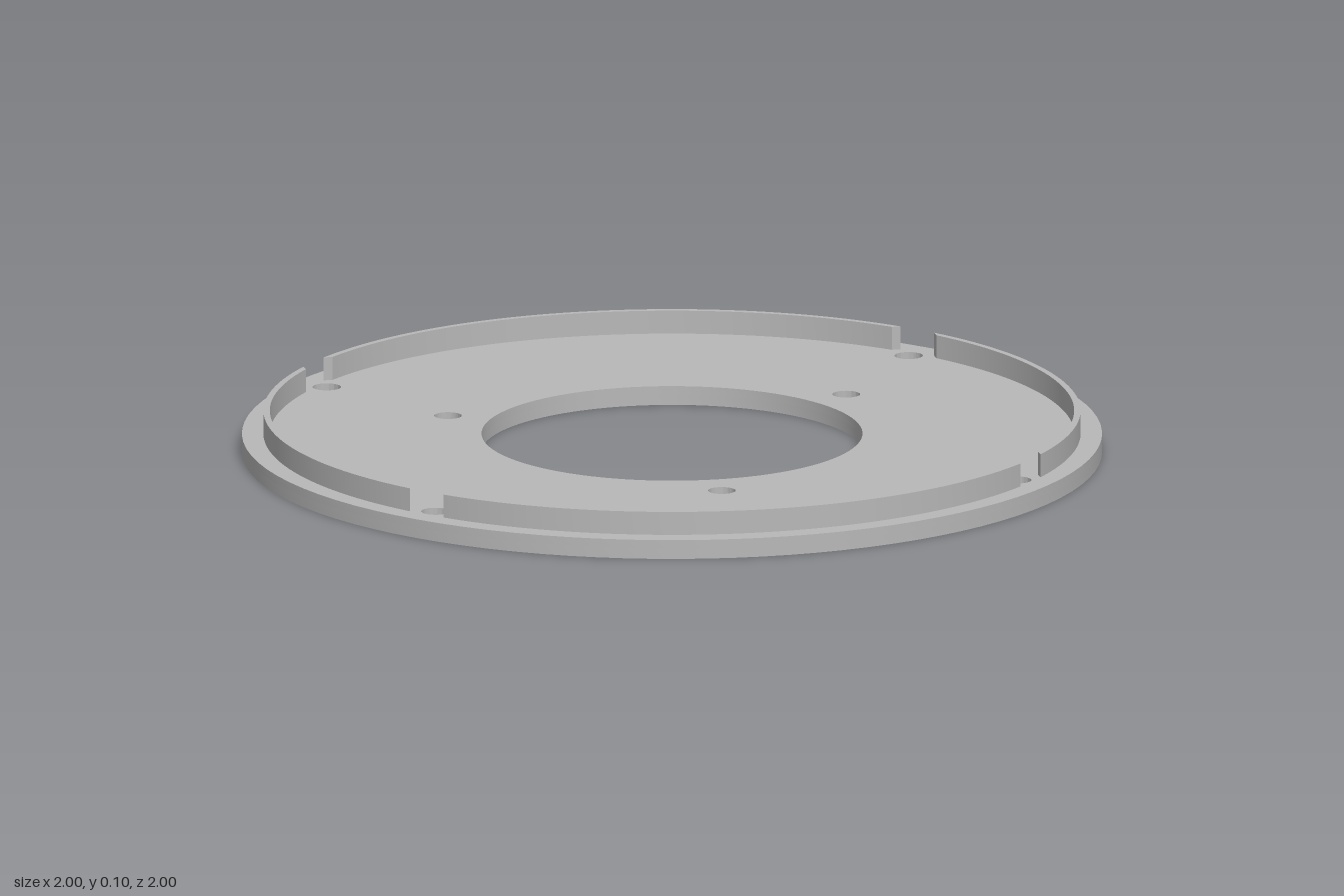
import * as THREE from 'three';
import { toCreasedNormals } from 'three/addons/utils/BufferGeometryUtils.js';

const PLATE_TOP = 0.045, BORE_DEPTH = 0.025, RIM_TOP = 0.1;
const RIM_OUTER = 0.95, RIM_INNER = 0.935;

export function createModel() {
  const group = new THREE.Group();
  group.name = 'ringPlate';
  const grey = new THREE.MeshStandardMaterial({ color: 0xb8b8b8 });
  grey.name = 'grey';

  // Extrudes a flat outline upward from y0 to y1 (outline y becomes -z)
  const addSlab = (name, shape, y0, y1) => {
    let geo = new THREE.ExtrudeGeometry(shape, { depth: y1 - y0, bevelEnabled: false, curveSegments: 48 });
    geo.rotateX(-Math.PI / 2);
    geo.translate(0, y0, 0);
    geo = toCreasedNormals(geo, 0.5);
    const mesh = new THREE.Mesh(geo, grey);
    mesh.name = name;
    group.add(mesh);
  };

  const circle = (Type, x, y, r) => new Type().absarc(x, y, r, 0, Math.PI * 2, false);

  // Disc with central opening, three inner holes and four rim screw holes
  const discShape = (screwRadius) => {
    const shape = circle(THREE.Shape, 0, 0, 1);
    shape.holes.push(circle(THREE.Path, 0, 0, 0.443));
    for (let i = 0; i < 3; i++) {
      const a = -Math.PI / 2 + (i * Math.PI * 2) / 3;
      shape.holes.push(circle(THREE.Path, 0.547 * Math.cos(a), 0.547 * Math.sin(a), 0.032));
    }
    for (const sx of [-1, 1]) for (const sy of [-1, 1]) {
      shape.holes.push(circle(THREE.Path, sx * 0.692, sy * 0.596, screwRadius));
    }
    return shape;
  };
  // The screw holes are counterbored from below
  addSlab('lowerPlate', discShape(0.054), 0, BORE_DEPTH);
  addSlab('upperPlate', discShape(0.033), BORE_DEPTH, PLATE_TOP);

  // Thin raised rim in four arcs, with ends cut square to the axes
  const rimSegment = (name, middle, cut) => {
    const outer = Math.acos(cut / RIM_OUTER), inner = Math.acos(cut / RIM_INNER);
    const shape = new THREE.Shape();
    shape.absarc(0, 0, RIM_OUTER, middle - outer, middle + outer, false);
    shape.absarc(0, 0, RIM_INNER, middle + inner, middle - inner, true);
    shape.closePath();
    addSlab(name, shape, PLATE_TOP, RIM_TOP);
  };
  rimSegment('leftRim', 0, 0.75);
  rimSegment('backRim', Math.PI / 2, 0.657);
  rimSegment('rightRim', Math.PI, 0.75);
  rimSegment('frontRim', -Math.PI / 2, 0.657);

  return group;
}
